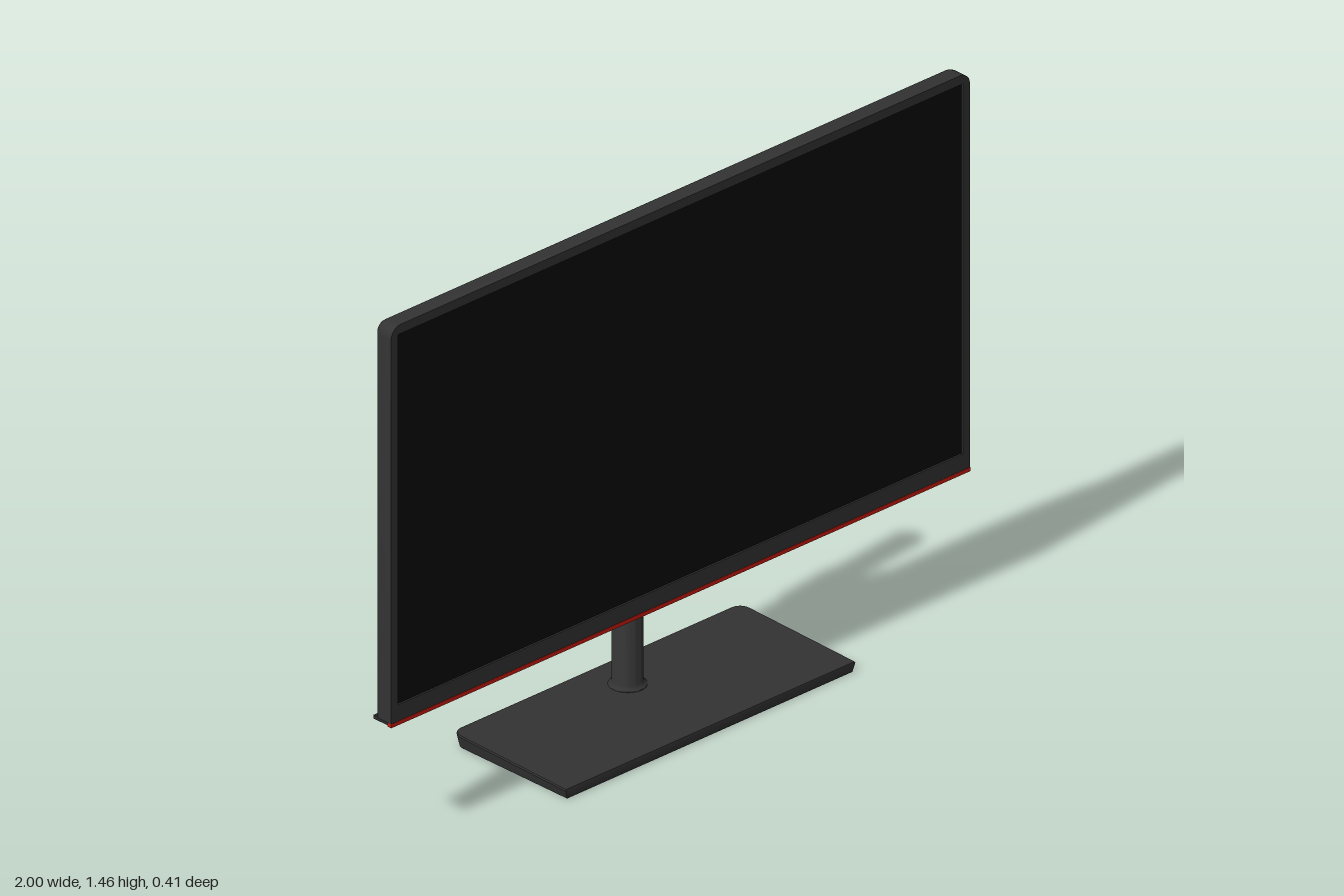
import * as THREE from 'three';
import { toCreasedNormals } from 'three/addons/utils/BufferGeometryUtils.js';

const mat = (color) => new THREE.MeshStandardMaterial({ color });
const body = mat(0x333333), dark = mat(0x2b2b2b), black = mat(0x0a0a0a), red = mat(0xcc1a10);

function add(group, name, geometry, material, x = 0, y = 0, z = 0) {
  const mesh = new THREE.Mesh(geometry, material);
  mesh.name = name;
  mesh.position.set(x, y, z);
  group.add(mesh);
  return mesh;
}

// Closed solid from equal-length loops of [x, y, z], counter-clockwise seen from the last loop.
function loft(loops, crease = 0.6) {
  const n = loops[0].length, last = (loops.length - 1) * n, index = [];
  for (let r = 0; r < loops.length - 1; r++) {
    for (let i = 0; i < n; i++) {
      const a = r * n + i, b = r * n + (i + 1) % n;
      index.push(a, b, b + n, a, b + n, a + n);
    }
  }
  for (let i = 1; i < n - 1; i++) {
    index.push(0, i + 1, i, last, last + i, last + i + 1);
  }
  const g = new THREE.BufferGeometry();
  g.setAttribute('position', new THREE.Float32BufferAttribute(loops.flat(2), 3));
  g.setIndex(index);
  return toCreasedNormals(g, crease);
}

// Outline with two rounded corners on its upper side.
function roundTop(w, y0, y1, r, inset = 0) {
  const pts = [[-w + inset, y0], [w - inset, y0]];
  for (const [cx, start] of [[w - r, 0], [-w + r, Math.PI / 2]]) {
    for (let i = 0; i <= 6; i++) {
      const a = start + (i / 6) * Math.PI / 2;
      pts.push([cx + (r - inset) * Math.cos(a), y1 - r + (r - inset) * Math.sin(a)]);
    }
  }
  return pts;
}

const toShape = (pts) => new THREE.Shape(pts.map(([x, y]) => new THREE.Vector2(x, y)));

function extrude(shape, depth, crease = 0.6) {
  return toCreasedNormals(new THREE.ExtrudeGeometry(shape, { depth, bevelEnabled: false, curveSegments: 20 }), crease);
}

// Shape drawn as (x, -z), extruded upwards from y = 0.
const extrudeUp = (shape, height) => extrude(shape, height).rotateX(-Math.PI / 2);

function makeDisplay() {
  const display = new THREE.Group();
  display.name = 'display';
  const bottom = 0.352, top = 1.462, r = 0.034;

  // Housing with rounded rear edges on the sides and top
  const loops = [];
  for (let i = 0; i <= 6; i++) {
    const a = (i / 6) * Math.PI / 2, round = 0.03;
    loops.push(roundTop(1, bottom, top, r, round * (1 - Math.sin(a)))
      .map(([x, y]) => [x, y, 0.028 + round * (1 - Math.cos(a))]));
  }
  loops.push(roundTop(1, bottom, top, r).map(([x, y]) => [x, y, 0.087]));
  add(display, 'housing', loft(loops), body);

  // Raised frame around the screen
  const frame = toShape(roundTop(1, bottom, top, r));
  const hole = [[-0.975, 0.398], [-0.975, 1.436], [0.975, 1.436], [0.975, 0.398]];
  frame.holes.push(new THREE.Path(hole.map(([x, y]) => new THREE.Vector2(x, y))));
  add(display, 'bezel', extrude(frame, 0.008), body, 0, 0, 0.087);
  add(display, 'screen', new THREE.BoxGeometry(1.95, 1.038, 0.004), black, 0, 0.917, 0.088);
  add(display, 'accentStrip', new THREE.BoxGeometry(2, 0.011, 0.067), red, 0, 0.3465, 0.0625)
    .scale.z = 0.2;
  display.getObjectByName('accentStrip').position.z = 0.0893;
  add(display, 'bottomEdge', new THREE.BoxGeometry(1.99, 0.011, 0.054), dark, 0, 0.3465, 0.055);

  // Gently curved bulge on the lower rear
  const pts = [[0.9, -0.04], [0.9, -0.018]];
  for (let i = 0; i <= 40; i++) {
    const x = 0.9 - 1.8 * i / 40;
    pts.push([x, 0.024 - 0.042 * Math.pow(Math.abs(x) / 0.9, 4)]);
  }
  pts.push([-0.9, -0.04]);
  add(display, 'rearBulge', extrudeUp(toShape(pts), 0.759), dark, 0, 0.341, 0);
  return display;
}

function makeStand() {
  const stand = new THREE.Group();
  stand.name = 'stand';
  const poleZ = -0.095;

  // Wedge base, tapered inwards below, slightly higher at the rear
  const outline = roundTop(0.5, -0.203, 0.207, 0.03);
  const ring = (s, height) => outline.map(([x, d]) => [x * s, height(d), -d * s]);
  const slope = (d) => 0.033 + d * 0.025;
  add(stand, 'base', loft([ring(0.985, () => 0), ring(1, (d) => slope(d) - 0.004), ring(0.996, slope)]), body);

  // Pole with a small flare at the foot
  const profile = [[0, 0.025], [0.05, 0.025], [0.05, 0.036], [0.044, 0.04], [0.04, 0.048],
    [0.04, 1.307], [0.038, 1.31], [0, 1.31]].map(([x, y]) => new THREE.Vector2(x, y));
  add(stand, 'pole', toCreasedNormals(new THREE.LatheGeometry(profile, 36), 0.6), body, 0, 0, poleZ);

  // Sliding collar and mounting plate
  const collar = new THREE.Shape();
  collar.moveTo(-0.05, 0.03);
  collar.lineTo(0.05, 0.03);
  collar.lineTo(0.05, -poleZ);
  collar.absarc(0, -poleZ, 0.05, 0, Math.PI, false);
  collar.closePath();
  const bore = new THREE.Path();
  bore.absarc(0, -poleZ, 0.04, 0, Math.PI * 2, true);
  collar.holes.push(bore);
  add(stand, 'collar', extrudeUp(collar, 0.2), body, 0, 0.8, 0);
  add(stand, 'mountPlate', new THREE.BoxGeometry(0.2, 0.2, 0.03), body, 0, 0.9, -0.032);
  return stand;
}

export function createModel() {
  const model = new THREE.Group();
  model.name = 'monitor';
  model.add(makeDisplay(), makeStand());
  return model;
}
